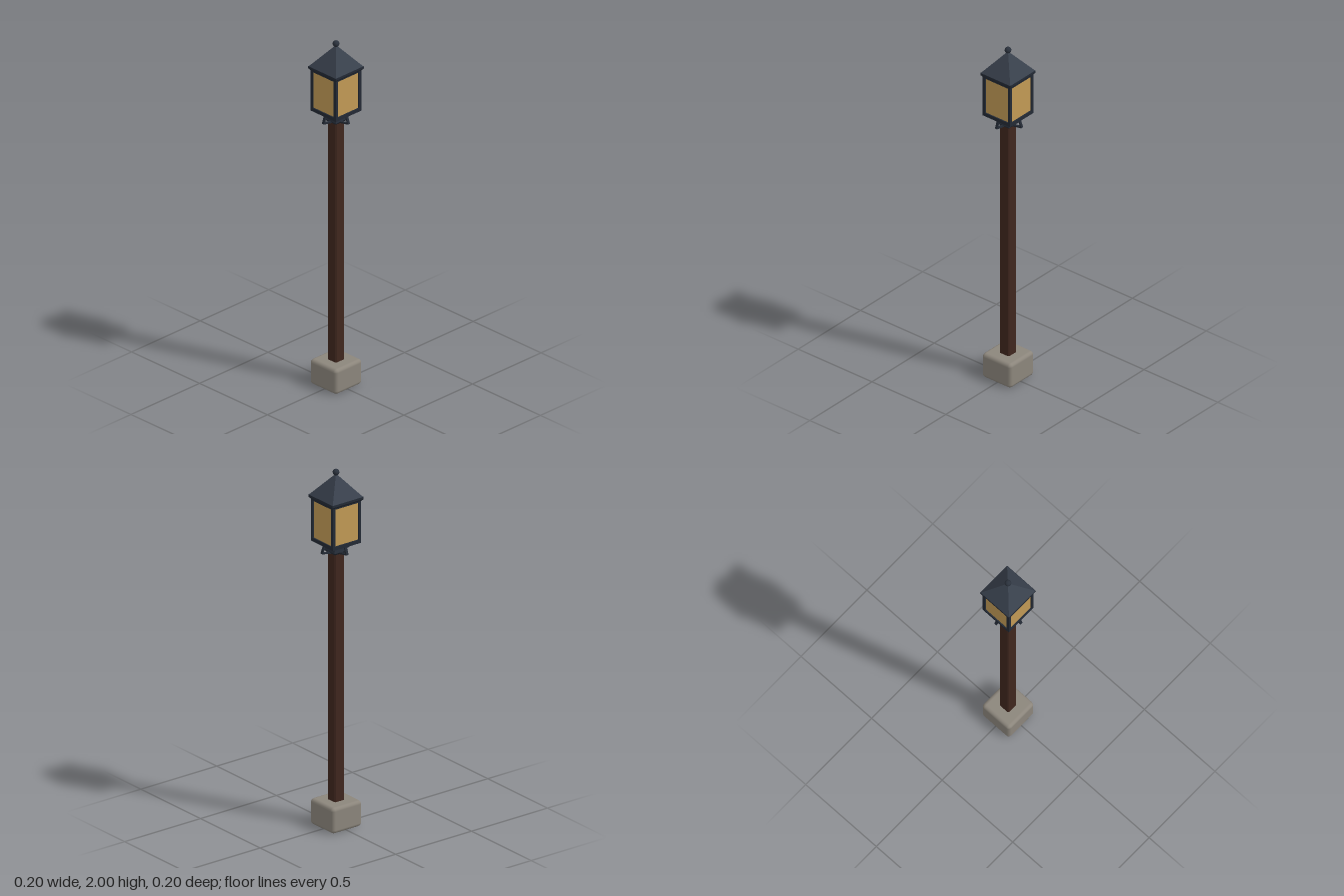
import * as THREE from 'three';
import { RoundedBoxGeometry } from 'three/addons/geometries/RoundedBoxGeometry.js';

const mat = (color, flatShading = true) => new THREE.MeshStandardMaterial({ color, flatShading });

export function createModel() {
  const model = new THREE.Group();
  const stone = mat(0x8c867c, false), wood = mat(0x40271e), iron = mat(0x232a35);
  const slate = mat(0x38404c), glass = mat(0xc29a55), smoothIron = mat(0x2b323d, false);

  const add = (name, geometry, material, x = 0, y = 0, z = 0, parent = model) => {
    const mesh = new THREE.Mesh(geometry, material);
    mesh.name = name;
    mesh.position.set(x, y, z);
    parent.add(mesh);
    return mesh;
  };
  // Square tapered block given by its half widths and its height range
  const frustum = (name, bottom, top, y0, y1, material) => {
    const g = new THREE.CylinderGeometry(top * Math.SQRT2, bottom * Math.SQRT2, y1 - y0, 4);
    g.rotateY(Math.PI / 4);
    return add(name, g, material, 0, (y0 + y1) / 2, 0);
  };

  // Worn stone footing
  add('stoneBase', new RoundedBoxGeometry(0.196, 0.145, 0.196, 2, 0.02), stone, 0, 0.0725, 0);

  // Square wooden post with chamfered corners
  const a = 0.033, b = 0.027;
  const section = new THREE.Shape([[a, -b], [a, b], [b, a], [-b, a], [-a, b], [-a, -b], [-b, -a], [b, -a]]
    .map(([x, y]) => new THREE.Vector2(x, y)));
  const post = new THREE.ExtrudeGeometry(section, { depth: 1.46, bevelEnabled: false });
  post.rotateX(-Math.PI / 2);
  add('post', post, wood, 0, 0.14, 0);

  // Collar around the top of the post
  frustum('collar', 0.036, 0.045, 1.535, 1.547, iron);
  frustum('collarTop', 0.045, 0.037, 1.547, 1.562, iron);

  // Bent iron brackets, one on each side
  const bend = [[0.03, 1.538], [0.092, 1.55], [0.074, 1.597]];
  for (let i = 0; i < 4; i++) {
    const bracket = new THREE.Group();
    bracket.name = 'bracket';
    bracket.rotation.y = i * Math.PI / 2;
    for (let j = 0; j < 2; j++) {
      const [x0, y0] = bend[j], [x1, y1] = bend[j + 1];
      const length = Math.hypot(x1 - x0, y1 - y0) + 0.006;
      const bar = add('bracketBar', new THREE.BoxGeometry(length, 0.008, 0.014), iron,
        (x0 + x1) / 2, (y0 + y1) / 2, 0, bracket);
      bar.rotation.z = Math.atan2(y1 - y0, x1 - x0);
    }
    model.add(bracket);
  }

  // Lantern floor and head plate
  add('lanternFloor', new THREE.BoxGeometry(0.186, 0.02, 0.186), iron, 0, 1.602, 0);
  add('lanternHead', new THREE.BoxGeometry(0.186, 0.014, 0.186), iron, 0, 1.828, 0);

  // Amber glass body and corner bars
  add('glass', new THREE.BoxGeometry(0.172, 0.215, 0.172), glass, 0, 1.717, 0);
  for (const x of [-1, 1]) for (const z of [-1, 1]) {
    add('cornerBar', new THREE.BoxGeometry(0.016, 0.225, 0.016), iron, x * 0.085, 1.716, z * 0.085);
  }

  // Eaves, pyramid roof and ball finial
  frustum('eaves', 0.094, 0.102, 1.828, 1.838, iron);
  frustum('eavesRim', 0.102, 0.102, 1.838, 1.85, iron);
  frustum('roof', 0.1, 0.005, 1.85, 1.968, slate);
  add('finial', new THREE.SphereGeometry(0.0175, 16, 12), smoothIron, 0, 1.9825, 0);

  return model;
}
